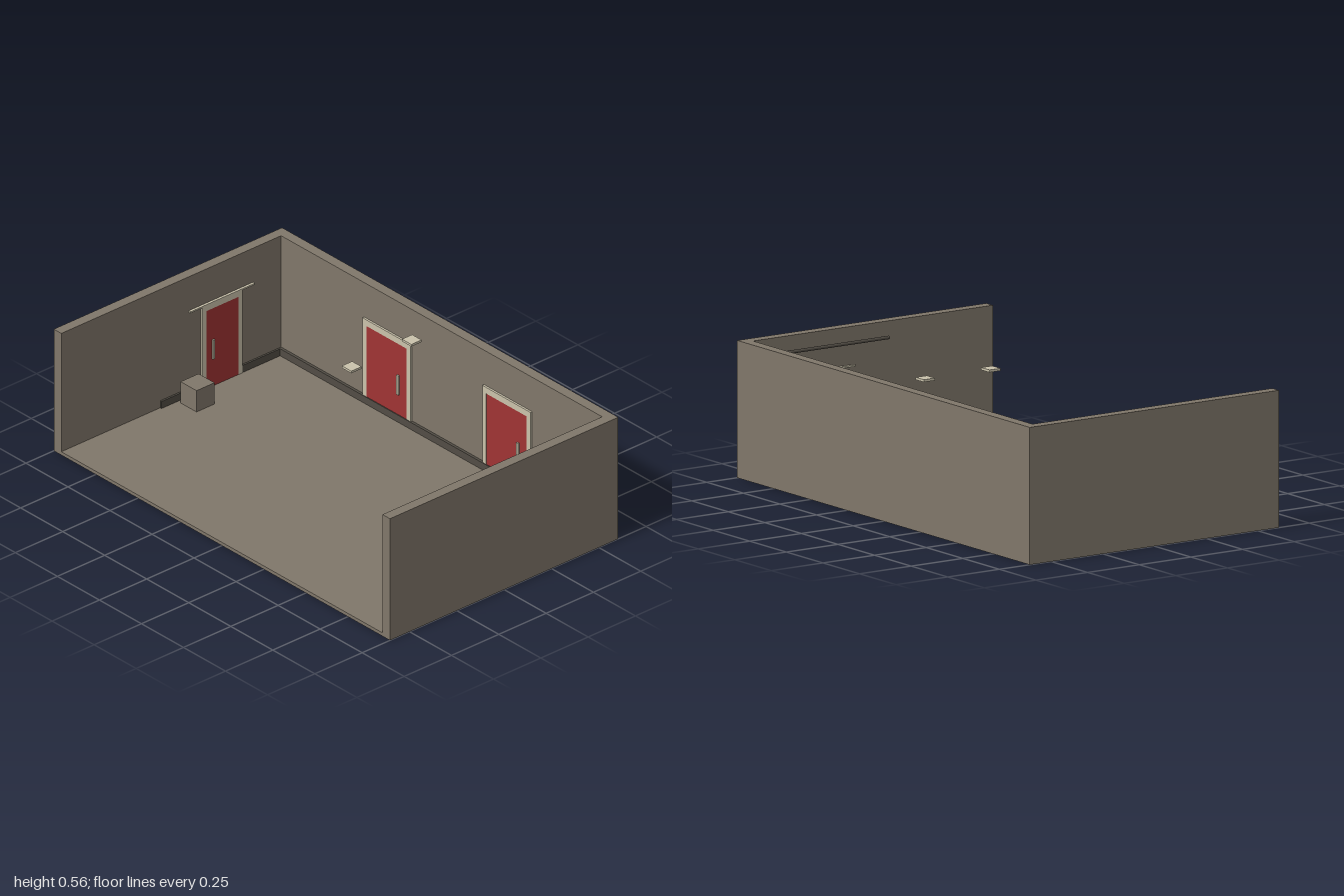
import * as THREE from 'three';

const mat = (name, color) => {
  const m = new THREE.MeshStandardMaterial({ color });
  m.name = name;
  return m;
};

export function createModel() {
  const room = new THREE.Group();
  room.name = 'room';
  const plaster = mat('taupe plaster', 0x80776a);
  const red = mat('door red', 0xa03434);
  const cream = mat('cream trim', 0xcac2ab);
  const dark = mat('dark trim', 0x524d45);

  // Box given by its lower and upper corners
  const box = (parent, name, material, a, b) => {
    const size = b.map((v, i) => v - a[i]);
    const mesh = new THREE.Mesh(new THREE.BoxGeometry(...size), material);
    mesh.position.set(...a.map((v, i) => (v + b[i]) / 2));
    mesh.name = name;
    parent.add(mesh);
    return mesh;
  };

  // Shell: floor and three walls
  const H = 0.555, D = 0.603, inX = 0.955, inZ = -0.558, floorY = 0.015;
  box(room, 'floor', plaster, [-inX, 0, inZ], [inX, floorY, D]);
  box(room, 'backWall', plaster, [-inX, 0, -D], [inX, H, inZ]);
  box(room, 'rightWall', plaster, [-1, 0, -D], [-inX, H, D]);
  box(room, 'leftWall', plaster, [inX, 0, -D], [1, H, D]);

  // Baseboards, the side ones stopping partway
  box(room, 'backBaseboard', dark, [-inX, floorY, inZ], [inX, 0.047, inZ + 0.012]);
  for (const s of [-1, 1]) {
    const x = [s * inX, s * (inX - 0.008)].sort((p, q) => p - q);
    box(room, 'sideBaseboard', dark, [x[0], floorY, inZ + 0.012], [x[1], 0.047, 0.08]);
  }

  // Door built against the z = 0 plane and facing +z
  const makeDoor = (name, width, trim, depth, handleX) => {
    const g = new THREE.Group();
    g.name = name;
    const w = width / 2, o = w + trim, top = 0.37;
    box(g, 'doorPanel', red, [-w, floorY, 0], [w, top, depth]);
    for (const s of [-1, 1]) {
      const x = [s * w, s * o].sort((p, q) => p - q);
      box(g, 'doorJamb', cream, [x[0], floorY, 0], [x[1], top, depth + 0.001]);
    }
    box(g, 'doorLintel', cream, [-o, top, 0], [o, 0.398, depth + 0.001]);
    box(g, 'doorHandle', cream, [handleX - 0.006, 0.14, depth], [handleX + 0.006, 0.228, depth + 0.007]);
    room.add(g);
    return g;
  };
  for (const x of [-0.318, 0.395]) {
    makeDoor('backDoor', 0.24, 0.023, 0.008, 0.07).position.set(x, 0, inZ);
  }
  for (const s of [-1, 1]) {
    const door = makeDoor('sideDoor', 0.17, 0.02, s > 0 ? 0.015 : 0.009, s * 0.05);
    // Thin ledge over the side door, wider than its frame
    box(door, 'doorLedge', cream, [-0.17, 0.393, 0], [0.17, 0.4, 0.011]);
    door.rotation.y = -s * Math.PI / 2;
    door.position.set(s * inX, 0, -0.24);
  }

  // Pipe along the left wall
  const pipe = new THREE.Mesh(new THREE.CylinderGeometry(0.007, 0.007, 0.08 - inZ, 16), dark);
  pipe.name = 'wallPipe';
  pipe.rotation.x = Math.PI / 2;
  pipe.position.set(0.927, 0.495, (0.08 + inZ) / 2);
  room.add(pipe);

  // Crate by the right wall
  box(room, 'crate', plaster, [-0.93, floorY, -0.1], [-0.835, 0.112, -0.005]);

  // Ceiling lamps
  for (const z of [-0.4, -0.083]) {
    box(room, 'ceilingLamp', cream, [-0.028, 0.545, z - 0.027], [0.028, H, z + 0.027]);
  }
  return room;
}
